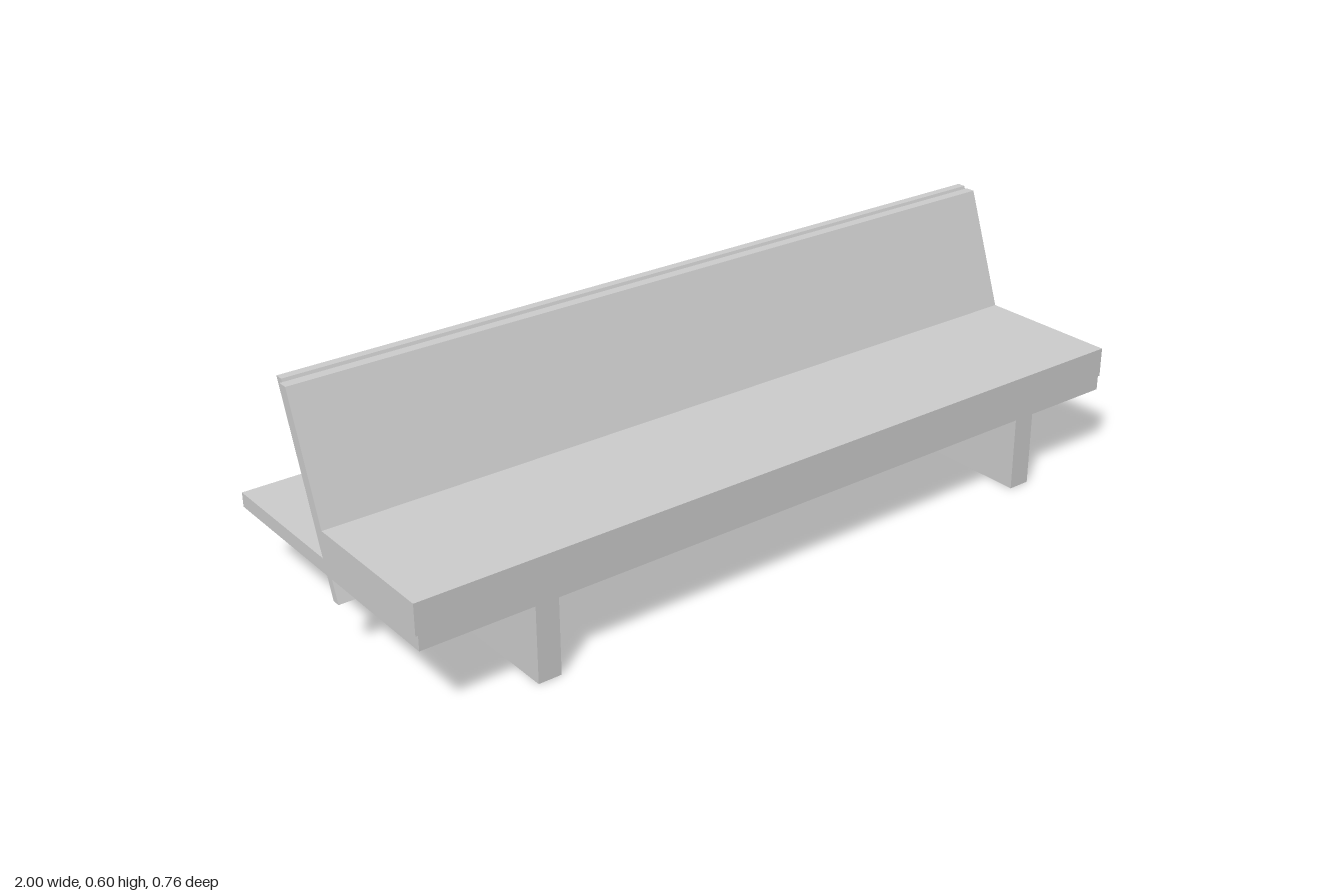
import * as THREE from 'three';

const material = new THREE.MeshStandardMaterial({ color: 0xcccccc, flatShading: true });

// Solid with a side profile of [z, y] points, running along x between x0 and x1
function profile(name, points, x0, x1) {
  const shape = new THREE.Shape(points.map(([z, y]) => new THREE.Vector2(z, y)));
  const geometry = new THREE.ExtrudeGeometry(shape, { depth: x1 - x0, bevelEnabled: false });
  geometry.rotateY(-Math.PI / 2).translate(x1, 0, 0);
  const mesh = new THREE.Mesh(geometry, material);
  mesh.name = name;
  return mesh;
}

// Box given by its limits on each axis
function box(name, [x0, x1], [y0, y1], [z0, z1]) {
  const mesh = new THREE.Mesh(new THREE.BoxGeometry(x1 - x0, y1 - y0, z1 - z0), material);
  mesh.position.set((x0 + x1) / 2, (y0 + y1) / 2, (z0 + z1) / 2);
  mesh.name = name;
  return mesh;
}

export function createModel() {
  const model = new THREE.Group();
  model.name = 'bench';
  const half = 0.994;

  // Platform on two deep slab legs
  model.add(box('platform', [-half, half], [0.189, 0.225], [-0.382, 0.382]));
  for (const x of [-0.69, 0.728]) {
    model.add(box('leg', [x - 0.029, x + 0.029], [0, 0.189], [-0.381, 0.381]));
  }

  // Leaning backboard, which passes down through the platform
  model.add(profile('backboard', [
    [0.048, 0.136], [0.027, 0.136], [-0.141, 0.598], [-0.12, 0.598],
  ], -half, half));

  // Seat and back cushions
  model.add(profile('seatCushion', [
    [0.382, 0.225], [0.015, 0.225], [-0.012, 0.3], [0.382, 0.3],
  ], -1, 1));
  model.add(profile('backCushion', [
    [0.013, 0.3], [-0.012, 0.3], [-0.117, 0.591], [-0.092, 0.591],
  ], -1, 1));

  // Rail on three footed posts behind the back
  const rail = new THREE.Group();
  rail.name = 'rail';
  for (const x of [-0.674, 0.024, 0.731]) {
    rail.add(box('postFoot', [x - 0.021, x + 0.021], [0.225, 0.235], [-0.295, -0.254]));
    rail.add(box('post', [x - 0.013, x + 0.013], [0.235, 0.402], [-0.287, -0.263]));
  }
  rail.add(box('railBar', [-0.692, 0.749], [0.402, 0.427], [-0.287, -0.261]));
  model.add(rail);

  // Four bent panels hung on the rail
  for (const x of [-0.63, -0.33, 0.1, 0.397]) {
    model.add(profile('bentPanel', [
      [-0.15, 0.578], [-0.15, 0.56], [-0.279, 0.465],
      [-0.279, 0.289], [-0.297, 0.289], [-0.297, 0.472],
    ], x, x + 0.272));
  }
  return model;
}
